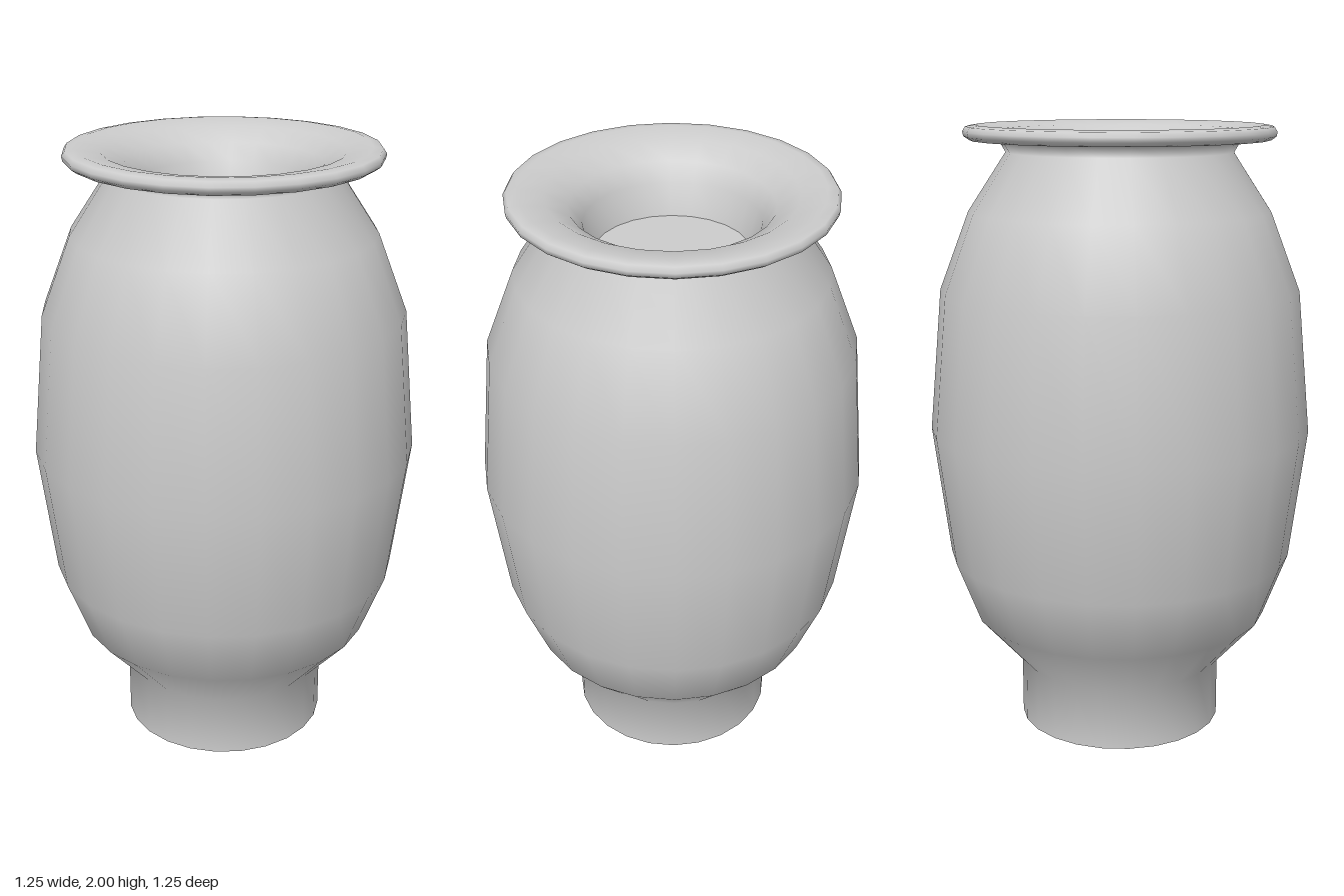
import * as THREE from 'three';

const SIDES = 24;

export function createModel() {
  const group = new THREE.Group();
  const material = new THREE.MeshStandardMaterial({ color: 0xcccccc, side: THREE.DoubleSide });

  const addLathe = (name, profile) => {
    const points = profile.map(([r, y]) => new THREE.Vector2(r, y));
    const mesh = new THREE.Mesh(new THREE.LatheGeometry(points, SIDES), material);
    mesh.name = name;
    group.add(mesh);
  };

  // Open foot, bulging body, flared lip and throat as one smooth skin
  addLathe('vaseBody', [
    [0.338, 0], [0.338, 0.21], // foot
    [0.49, 0.38], [0.57, 0.59], [0.625, 1.02], [0.583, 1.48], [0.487, 1.73], // belly
    [0.365, 1.915], [0.385, 1.95], // neck
    [0.48, 1.953], [0.497, 1.965], [0.5, 1.98], [0.49, 1.995], [0.46, 2.0], // lip
    [0.38, 1.985], [0.31, 1.945], [0.27, 1.89], [0.24, 1.79], // throat
  ]);

  // Flat disc closing the throat
  const floor = new THREE.Mesh(new THREE.CircleGeometry(0.24, SIDES), material);
  floor.name = 'throatFloor';
  floor.rotation.x = -Math.PI / 2;
  floor.position.y = 1.79;
  group.add(floor);

  return group;
}
